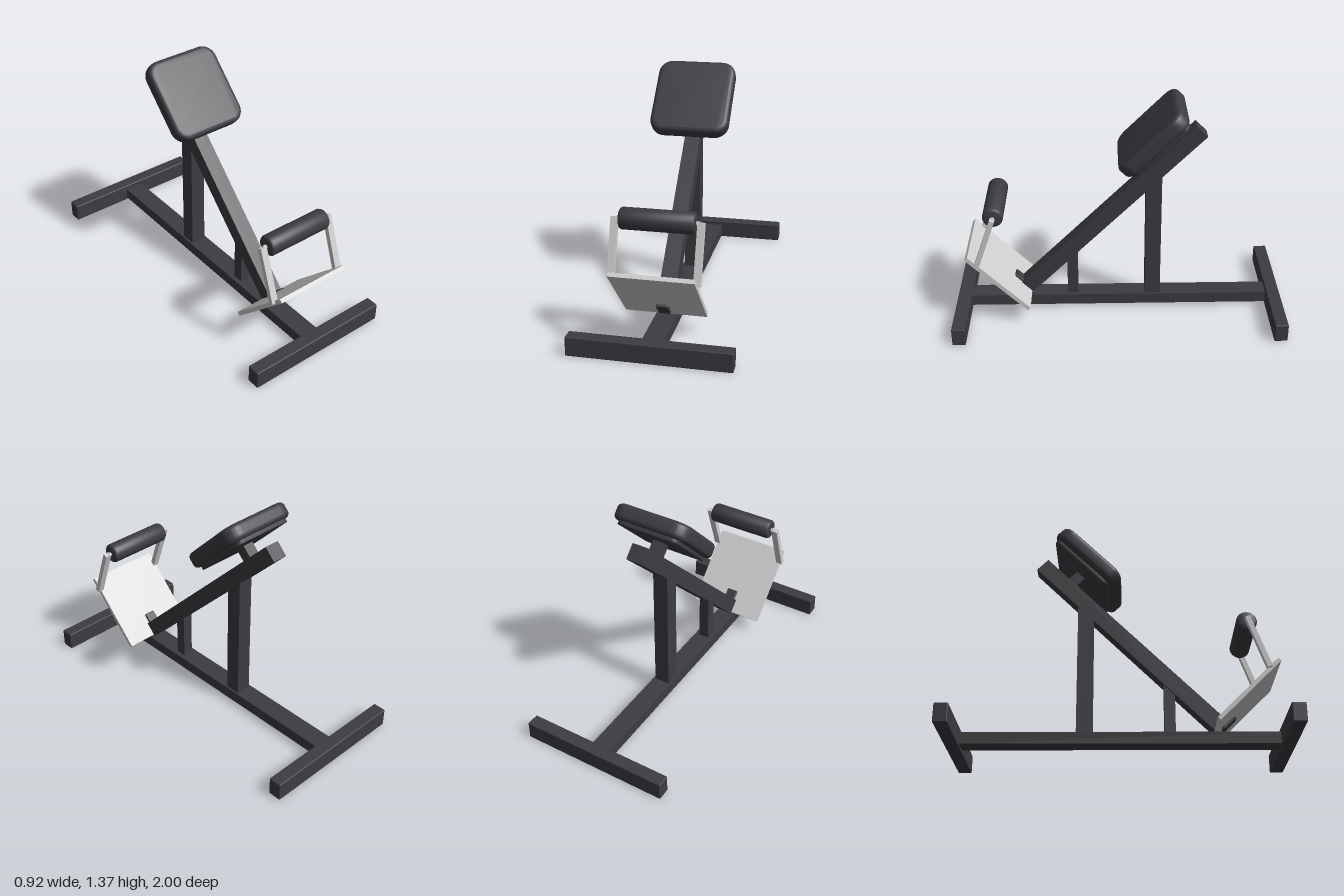
import * as THREE from 'three';
import { toCreasedNormals } from 'three/addons/utils/BufferGeometryUtils.js';
import { RoundedBoxGeometry } from 'three/addons/geometries/RoundedBoxGeometry.js';

const TILT = Math.PI / 4;

// Rounded rectangle, centred on the origin
function roundedRect(w, h, r) {
  const x = w / 2, y = h / 2, s = new THREE.Shape();
  s.absarc(x - r, y - r, r, 0, Math.PI / 2);
  s.absarc(-x + r, y - r, r, Math.PI / 2, Math.PI);
  s.absarc(-x + r, -y + r, r, Math.PI, Math.PI * 1.5);
  s.absarc(x - r, -y + r, r, Math.PI * 1.5, Math.PI * 2);
  s.closePath();
  return s;
}

// Slab with rounded corners and a rolled edge, centred on the origin
function slab(w, h, thickness, corner, edge) {
  const geo = new THREE.ExtrudeGeometry(roundedRect(w, h, corner), {
    depth: thickness - 2 * edge, bevelThickness: edge, bevelSize: edge,
    bevelOffset: -edge, bevelSegments: 5, curveSegments: 8,
  });
  geo.translate(0, 0, -thickness / 2 + edge);
  return toCreasedNormals(geo, 0.6);
}

export function createModel() {
  const model = new THREE.Group();
  model.name = 'inclineBench';

  const dark = new THREE.MeshStandardMaterial({ color: 0x3d3c42 });
  dark.name = 'charcoal';
  const light = new THREE.MeshStandardMaterial({ color: 0xcfcfcf });
  light.name = 'light grey metal';

  function add(name, geo, mat, x, y, z, tilt = 0) {
    const mesh = new THREE.Mesh(geo, mat);
    mesh.name = name;
    mesh.position.set(x, y, z);
    mesh.rotation.x = tilt;
    model.add(mesh);
    return mesh;
  }
  const box = (w, h, d) => new THREE.BoxGeometry(w, h, d);

  // Floor frame: long beam with a cross foot at each end
  add('baseBeam', box(0.12, 0.07, 1.86), dark, 0, 0.05, 0);
  for (const [name, z] of [['frontFoot', 0.96], ['rearFoot', -0.96]]) {
    add(name, new RoundedBoxGeometry(0.92, 0.112, 0.08, 2, 0.006), dark, 0, 0.056, z);
  }

  // Inclined beam and the two posts that carry it
  add('inclineBeam', box(0.095, 1.488, 0.095), dark, 0, 0.663, 0.045, -TILT);
  add('rearPost', box(0.095, 0.83, 0.095), dark, 0, 0.485, -0.208);
  add('frontPost', box(0.065, 0.32, 0.065), dark, 0, 0.235, 0.288);

  // Body pad with backing board and mounting block
  add('pad', slab(0.474, 0.5, 0.095, 0.085, 0.028), dark, 0, 1.168, -0.192, -TILT);
  add('padBacking', slab(0.39, 0.44, 0.03, 0.04, 0.003), dark, 0, 1.13, -0.231, -TILT);
  add('padMount', box(0.07, 0.07, 0.14), dark, 0, 1.1, -0.264, -TILT);

  // Foot plate, clamped to the lower end of the beam
  add('footPlate', box(0.474, 0.51, 0.025), light, 0, 0.281, 0.733, TILT);
  add('plateClamp', new RoundedBoxGeometry(0.07, 0.105, 0.055, 2, 0.006), dark, 0, 0.165, 0.62, TILT);

  // Arms rising from the plate to hold the leg roller
  for (const side of [1, -1]) {
    add(side > 0 ? 'leftRollerArm' : 'rightRollerArm',
      box(0.04, 0.338, 0.03), light, side * 0.237, 0.567, 0.798, -0.34);
  }
  const axle = add('rollerAxle', new THREE.CylinderGeometry(0.012, 0.012, 0.46, 16), light, 0, 0.72, 0.742);
  axle.rotation.z = Math.PI / 2;

  // Leg roller with softened ends
  const profile = [[0, -0.21], [0.045, -0.21], [0.055, -0.206], [0.061, -0.195],
    [0.061, 0.195], [0.055, 0.206], [0.045, 0.21], [0, 0.21]]
    .map(([r, y]) => new THREE.Vector2(r, y));
  const roller = add('legRoller', toCreasedNormals(new THREE.LatheGeometry(profile, 32), 0.7), dark, 0, 0.72, 0.742);
  roller.rotation.z = Math.PI / 2;

  return model;
}
